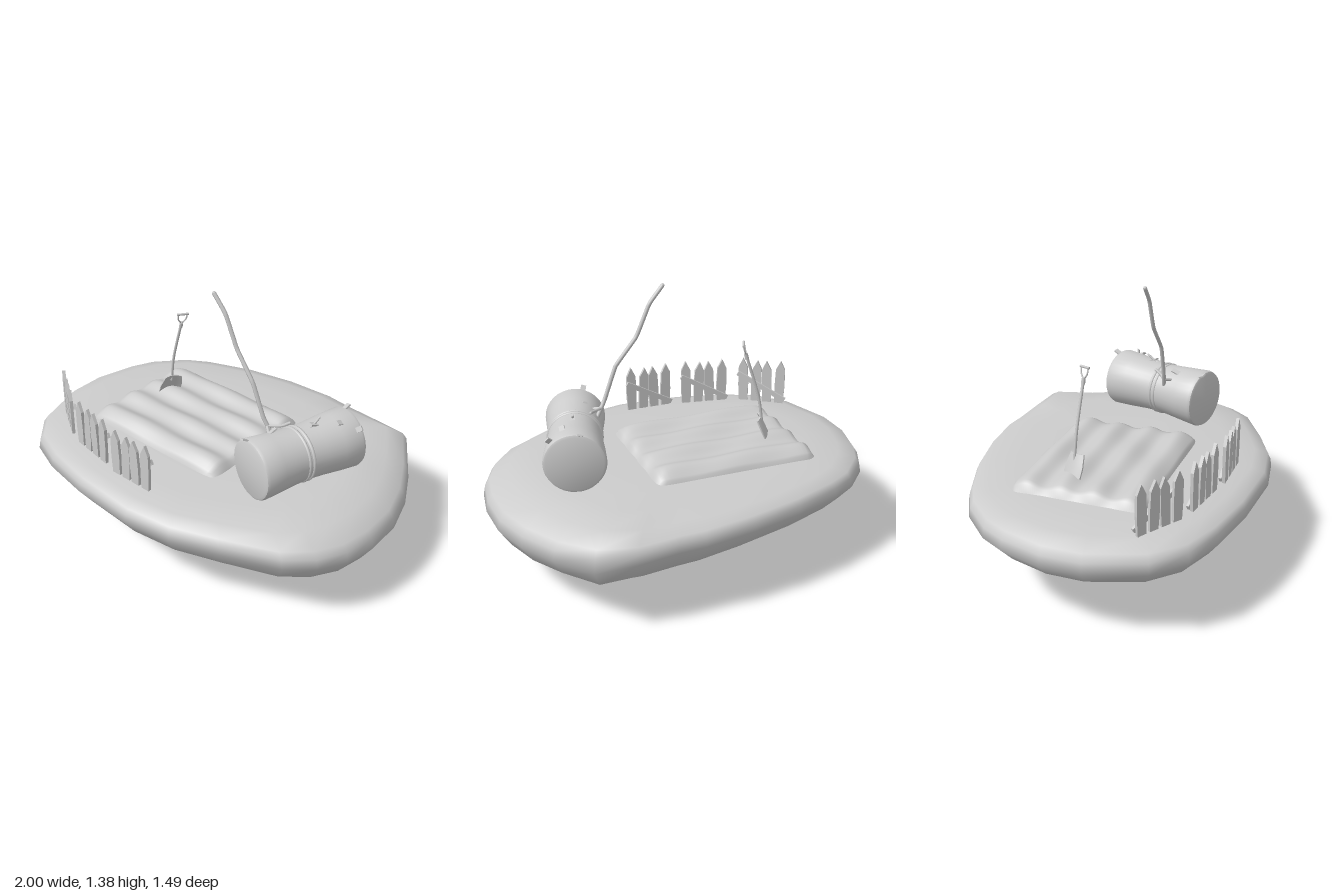
import * as THREE from 'three';
import { mergeVertices, toCreasedNormals } from 'three/addons/utils/BufferGeometryUtils.js';

const V = (x, y, z) => new THREE.Vector3(x, y, z);
const mat = new THREE.MeshStandardMaterial({ color: 0xcccccc });

function add(parent, name, geometry) {
  const mesh = new THREE.Mesh(geometry, mat);
  mesh.name = name;
  parent.add(mesh);
  return mesh;
}

// Tube through a few points, closed by small balls at its ends; low tension keeps kinks
function rod(parent, name, points, radius, sides = 8, tension = .5) {
  const curve = new THREE.CatmullRomCurve3(points, false, 'catmullrom', tension);
  const mesh = add(parent, name, new THREE.TubeGeometry(curve, points.length * 5, radius, sides));
  for (const p of [points[0], points[points.length - 1]]) {
    add(mesh, name + 'End', new THREE.SphereGeometry(radius, sides, 4)).position.copy(p);
  }
  return mesh;
}

// Island: one plan outline [x, z] lofted through rings from the lowest point to the lawn
function islandGeometry() {
  const outline = [
    [-1, 0], [-.97, -.2], [-.88, -.4], [-.8, -.51], [-.64, -.63], [-.5, -.68], [-.24, -.73],
    [.03, -.745], [.29, -.73], [.42, -.7], [.62, -.67], [.8, -.61], [.9, -.4], [.97, -.2],
    [1, 0], [.98, .2], [.93, .36], [.84, .49], [.71, .59], [.43, .68], [.19, .74],
    [-.06, .74], [-.4, .66], [-.66, .56], [-.84, .45], [-.95, .29]];
  // [x scale, z scale, z offset, y, slope along x, droop towards both x ends, lumpiness]
  const rings = [
    [0, 0, -.18, 0, 0, 0, 0], [.2, .15, -.12, .022, 0, 0, .003], [.4, .3, -.065, .042, 0, 0, .006],
    [.64, .61, -.04, .165, -.012, 0, .01], [.84, .8, -.01, .25, -.03, -.02, .006],
    [.935, .91, 0, .31, -.035, -.045, 0], [1, 1, 0, .405, -.02, -.055, 0],
    [.99, .99, 0, .445, -.02, -.04, 0], [.965, .97, 0, .476, -.02, -.035, 0],
    [.87, .88, 0, .498, -.008, -.01, 0], [.7, .7, 0, .51, 0, 0, 0],
    [.4, .4, 0, .514, 0, 0, 0], [0, 0, 0, .515, 0, 0, 0]];
  const pos = [], idx = [], n = outline.length;
  rings.forEach(([sx, sz, oz, y, slope, droop, lump], i) => {
    outline.forEach(([x, z], j) => {
      const corner = j === 11 && i > 6 && i < 10 ? .025 : 0;
      const wave = lump * Math.sin(j * Math.PI * 6 / n + i);
      pos.push(x * sx, y + slope * x + droop * x * x + corner + wave, z * sz + oz);
      if (i === rings.length - 1) return;
      const a = i * n + j, b = i * n + (j + 1) % n, c = a + n, d = b + n;
      if (i > 0) idx.push(b, a, c);
      if (i < rings.length - 2) idx.push(b, c, d);
      if (i === 0) idx.pop(), idx.pop(), idx.pop(), idx.push(a, c, d);
    });
  });
  let g = new THREE.BufferGeometry();
  g.setAttribute('position', new THREE.Float32BufferAttribute(pos, 3));
  g.setIndex(idx);
  g = mergeVertices(g);
  g.computeVertexNormals();
  return g;
}

// Ploughed bed: four soft furrows that sink into the lawn at the rounded edges
function bedGeometry(w, d) {
  const g = new THREE.PlaneGeometry(w, d, 36, 64).rotateX(-Math.PI / 2);
  const p = g.attributes.position;
  for (let i = 0; i < p.count; i++) {
    const u = THREE.MathUtils.clamp(p.getX(i) / w * 2, -1, 1);
    const v = THREE.MathUtils.clamp(p.getZ(i) / d * 2, -1, 1);
    const edge = Math.sqrt((1 - Math.pow(Math.abs(u), 12)) * (1 - Math.pow(Math.abs(v), 14)));
    const ridge = .5 - .5 * Math.cos((v + 1) * Math.PI * 4);
    p.setY(i, edge * (.04 + .026 * ridge + .004 * Math.sin(u * 6 + v * 5)));
    p.setX(i, p.getX(i) * (1 - .03 * Math.pow(Math.abs(v), 16)));
    p.setZ(i, p.getZ(i) * (1 - .04 * Math.pow(Math.abs(u), 16)));
  }
  g.computeVertexNormals();
  return g;
}

// Fence panel between two ground points: broad pointed pickets with a diagonal rail behind
function fencePanel(x0, z0, x1, z1) {
  const panel = new THREE.Group();
  panel.name = 'fencePanel';
  const len = Math.hypot(x1 - x0, z1 - z0);
  panel.position.set((x0 + x1) / 2, .495, (z0 + z1) / 2);
  panel.rotation.y = -Math.atan2(z1 - z0, x1 - x0);
  for (let i = 0; i < 4; i++) {
    const h = [.255, .25, .25, .26][i], w = .028;
    const shape = new THREE.Shape([
      [-w * .85, 0], [w * .85, 0], [w, h * .4], [w * .9, h * .8], [0, h], [-w * .9, h * .8], [-w, h * .4],
    ].map(([x, y]) => new THREE.Vector2(x, y)));
    const picket = add(panel, 'picket', new THREE.ExtrudeGeometry(shape, { depth: .016, bevelEnabled: false }));
    picket.position.x = (i - 1.5) * len * .245;
    picket.rotation.z = [.02, -.03, .04, -.02][i];
  }
  const rail = add(panel, 'fenceRail', new THREE.BoxGeometry(len * 1.11, .026, .014));
  rail.position.set(0, .1, -.007);
  rail.rotation.z = .5;
  return panel;
}

// Log lying on its side with flared ends; local z runs along it
function log() {
  const group = new THREE.Group();
  group.name = 'log';
  group.position.set(.527, .657, .105);
  group.rotation.y = -.464;
  const profile = [[0, -.285], [.137, -.285], [.148, -.28], [.153, -.266], [.147, -.17], [.138, -.07],
    [.134, .01], [.137, .08], [.145, .17], [.153, .266], [.148, .28], [.137, .285], [0, .285]];
  const body = new THREE.LatheGeometry(profile.map(([r, y]) => new THREE.Vector2(r, y)), 32);
  add(group, 'logBody', toCreasedNormals(body, .75)).rotation.x = Math.PI / 2;
  for (const z of [.008, .032]) add(group, 'ropeRing', new THREE.TorusGeometry(.132, .009, 8, 32)).position.z = z;
  // Chips: [angle from the top, distance from the axis, place along the log, lean along the log]
  for (const [a, r, z, lean] of [[-.2, .15, -.28, -1.1], [.38, .147, -.19, 1.2], [.8, .155, -.25, -.5],
    [.05, .142, -.07, 1.2], [-.38, .145, .13, -1.2], [-.3, .15, .28, 1.1]]) {
    const arm = new THREE.Group();
    arm.name = 'chipArm';
    arm.rotation.z = -a;
    const chip = add(arm, 'barkChip', new THREE.BoxGeometry(.026, .052, .008));
    chip.position.set(0, r, z);
    chip.rotation.x = lean;
    group.add(arm);
  }
  return group;
}

// Spade stuck in the bed, its local y along the handle
function spade() {
  const group = new THREE.Group();
  group.name = 'spade';
  const up = V(.125, .52, .04).normalize();
  const front = V(.6, 0, -.8).cross(up).normalize();
  const side = up.clone().cross(front);
  group.quaternion.setFromRotationMatrix(new THREE.Matrix4().makeBasis(side, up, front));
  group.position.set(-.43, .54, -.175);
  const blade = new THREE.BoxGeometry(.12, .13, .007, 8, 4, 1);
  const p = blade.attributes.position;
  for (let i = 0; i < p.count; i++) {
    const x = p.getX(i), y = p.getY(i);
    p.setXYZ(i, x * (1 - Math.max(0, y) * 3.5), y, p.getZ(i) + x * x * 4 - .01 + y * .2);
  }
  blade.computeVertexNormals();
  add(group, 'spadeBlade', blade).position.y = .06;
  rod(group, 'spadeHandle', [V(0, .09, 0), V(-.005, .25, -.012), V(0, .49, 0)], .0075);
  add(group, 'spadeSocket', new THREE.CylinderGeometry(.01, .01, .03, 8)).position.y = .475;
  for (const s of [-1, 1]) rod(group, 'gripArm', [V(0, .485, 0), V(s * .02, .51, 0), V(s * .024, .54, 0)], .004, 6);
  add(group, 'gripBar', new THREE.CylinderGeometry(.006, .006, .062, 8).rotateZ(Math.PI / 2)).position.y = .543;
  return group;
}

export function createModel() {
  const model = new THREE.Group();
  model.name = 'gardenIsland';
  add(model, 'island', islandGeometry());

  const bed = add(model, 'gardenBed', bedGeometry(.87, .685));
  bed.position.set(-.18, .505, -.052);
  bed.rotation.y = -.165;

  model.add(fencePanel(-.84, .2, -.635, .385));
  model.add(fencePanel(-.585, .41, -.325, .5));
  model.add(fencePanel(-.28, .525, -.015, .57));
  model.add(log(), spade());

  // Crooked pole rising from the log, with roots gripping the bark
  rod(model, 'pole', [V(.385, .73, .135), V(.34, .81, .14), V(.275, .98, .135), V(.17, 1.12, .11),
    V(.1, 1.28, .1), V(.03, 1.365, .09)], .0105, 6, .12);
  rod(model, 'root', [V(.36, .77, .138), V(.42, .775, .11), V(.45, .785, .08)], .008, 6);
  rod(model, 'root', [V(.36, .77, .138), V(.39, .755, .18), V(.37, .735, .2)], .008, 6);
  rod(model, 'twig', [V(.54, .775, .11), V(.56, .795, .06), V(.575, .825, .015)], .006, 6);
  return model;
}
